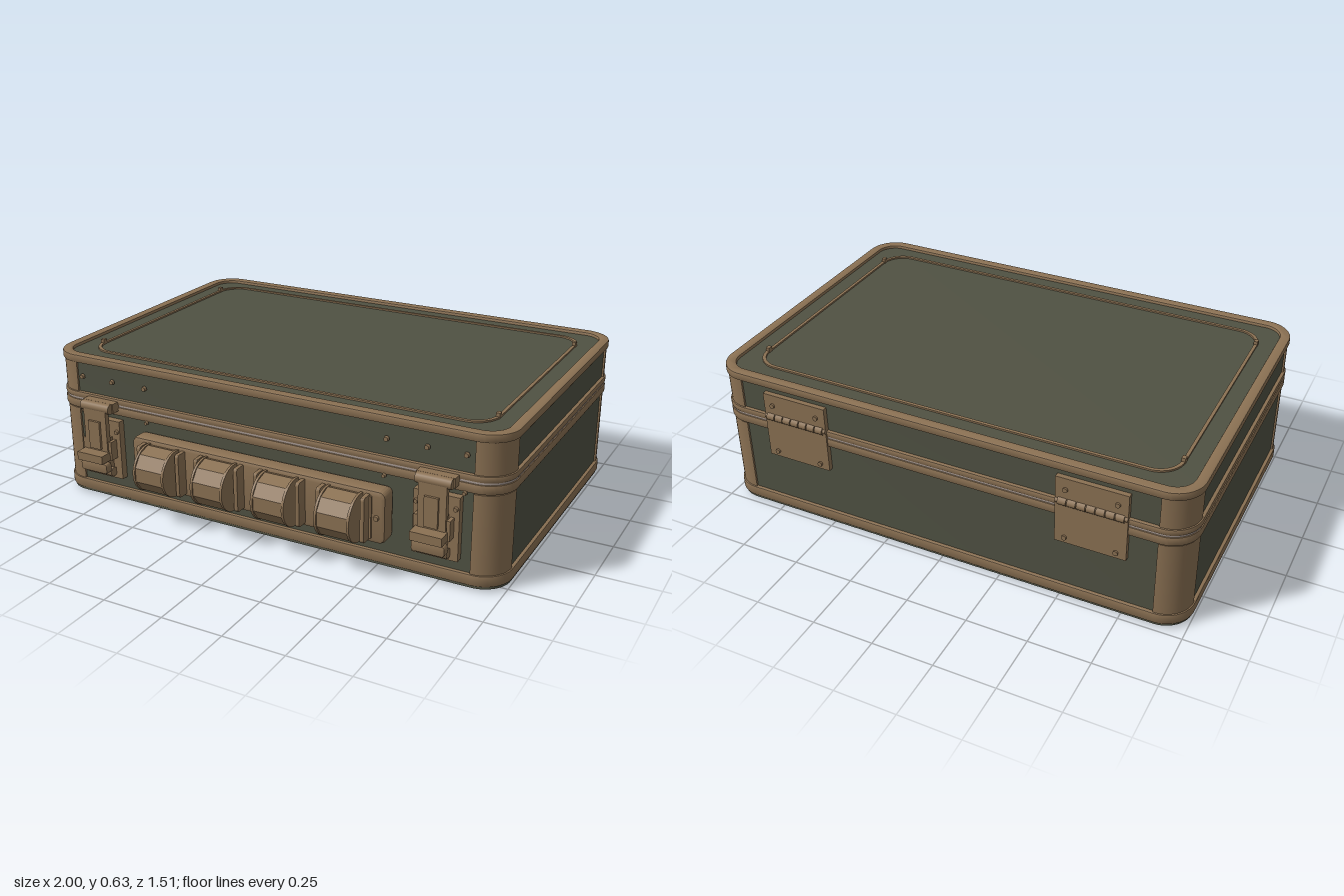
import * as THREE from 'three';
import { toCreasedNormals } from 'three/addons/utils/BufferGeometryUtils.js';

const material = (name, color) => new THREE.MeshStandardMaterial({ name, color });
const CZ = -0.08; // middle of the case in z

// Rounded rectangle centred on the origin, from half sizes.
function roundRect(hw, hd, r, Type = THREE.Shape) {
  const s = new Type();
  s.absarc(hw - r, hd - r, r, 0, Math.PI / 2);
  s.absarc(-hw + r, hd - r, r, Math.PI / 2, Math.PI);
  s.absarc(-hw + r, -hd + r, r, Math.PI, Math.PI * 1.5);
  s.absarc(hw - r, -hd + r, r, Math.PI * 1.5, Math.PI * 2);
  s.closePath();
  return s;
}

// Extrusion whose depth, bevel included, is exactly the given depth.
function extrude(shape, depth, bevel = 0) {
  const geo = new THREE.ExtrudeGeometry(shape, {
    depth: depth - 2 * bevel, curveSegments: 10, bevelEnabled: bevel > 0,
    bevelThickness: bevel, bevelSize: bevel, bevelOffset: -bevel, bevelSegments: 2,
  });
  return toCreasedNormals(geo.translate(0, 0, bevel), 0.6);
}

export function createModel() {
  const green = material('olive panel', 0x505243);
  const bronze = material('bronze metal', 0x8b7153);
  const steel = material('pale seam', 0xa89a92);
  const rubber = material('dark red rubber', 0x3c1a19);

  const model = new THREE.Group();
  model.name = 'briefcase';

  function add(parent, name, geo, mat, x = 0, y = 0, z = 0) {
    const mesh = new THREE.Mesh(geo, mat);
    mesh.name = name;
    mesh.position.set(x, y, z);
    parent.add(mesh);
    return mesh;
  }
  const box = (parent, name, w, h, d, x, y, z, mat = bronze) =>
    add(parent, name, new THREE.BoxGeometry(w, h, d), mat, x, y, z);
  const barX = (r, length, sides = 16) =>
    new THREE.CylinderGeometry(r, r, length, sides).rotateZ(Math.PI / 2);
  function rivet(parent, x, y, z, r = 0.011) {
    add(parent, 'rivet', new THREE.CylinderGeometry(r * 0.8, r, 0.012, 10).rotateX(Math.PI / 2), bronze, x, y, z);
  }
  // Horizontal slab from y0 to y1, inset from the outer outline.
  function slab(name, inset, y0, y1, mat, hole = 0, bevel = 0) {
    const shape = roundRect(1 - inset, 0.655 - inset, 0.12 - inset);
    if (hole) shape.holes.push(roundRect(1 - hole, 0.655 - hole, Math.max(0.12 - hole, 0.05), THREE.Path));
    add(model, name, extrude(shape, y1 - y0, bevel).rotateX(-Math.PI / 2), mat, 0, y0, CZ);
  }

  // Shell panels and metal bands
  slab('lowerShell', 0.014, 0.03, 0.4, green);
  slab('baseSheet', 0.006, 0.01, 0.03, green);
  slab('upperShell', 0.014, 0.44, 0.607, green);
  slab('bottomTrim', 0, 0.02, 0.065, bronze, 0.045, 0.005);
  slab('topTrim', 0, 0.586, 0.62, bronze, 0.042, 0.006);
  slab('lowerBand', 0, 0.388, 0.426, bronze, 0.04, 0.006);
  slab('upperBand', 0, 0.434, 0.46, bronze, 0.04, 0.005);
  slab('seam', 0.005, 0.42, 0.442, steel);

  // Thin frame inlaid in the lid
  const frame = roundRect(0.89, 0.548, 0.1);
  frame.holes.push(roundRect(0.877, 0.535, 0.09, THREE.Path));
  add(model, 'lidInlay', extrude(frame, 0.009).rotateX(-Math.PI / 2), bronze, 0, 0.605, CZ);

  // Wrapped corner plates, lid nubs and feet
  for (const sx of [-1, 1]) for (const sz of [-1, 1]) {
    const corner = new THREE.Shape();
    const hw = 0.994, hd = 0.649, r = 0.114;
    const points = [[0.875, 0.538], [0.875, hd]];
    for (let i = 0; i <= 10; i++) {
      const a = Math.PI / 2 * (1 - i / 10);
      points.push([hw - r + r * Math.cos(a), hd - r + r * Math.sin(a)]);
    }
    points.push([hw, 0.538]);
    corner.setFromPoints(points.map(([x, z]) => new THREE.Vector2(x * sx, -z * sz)));
    for (const [y0, y1] of [[0.06, 0.384], [0.456, 0.59]])
      add(model, 'cornerPlate', extrude(corner, y1 - y0).rotateX(-Math.PI / 2), bronze, 0, y0, CZ);

    const z = sz > 0 ? 0.375 : -0.525;
    box(model, 'lidNub', 0.016, 0.022, 0.02, sx * 0.883, 0.617, z);
    box(model, 'foot', 0.14, 0.014, 0.1, sx * 0.72, 0.007, z, rubber);
  }

  // Combination lock panel
  const lock = new THREE.Group();
  lock.name = 'combinationLock';
  model.add(lock);
  add(lock, 'lockPanel', extrude(roundRect(0.565, 0.107, 0.028), 0.075, 0.015), bronze, 0, 0.237, 0.56);
  for (const sx of [-1, 1]) {
    rivet(lock, sx * 0.53, 0.237, 0.638, 0.012);
    box(lock, 'panelEdgeRib', 0.012, 0.17, 0.012, sx * 0.505, 0.237, 0.637);
  }
  for (let i = 0; i < 4; i++) {
    const x = -0.407 + i * 0.27;
    const drum = add(lock, 'dial', barX(0.094, 0.125, 10).toNonIndexed(), bronze, x, 0.237, 0.656);
    drum.geometry.rotateX(Math.PI / 10);
    drum.geometry.computeVertexNormals();
    for (const s of [-1, 1]) {
      add(lock, 'dialRim', barX(0.096, 0.01, 32), bronze, x + s * 0.067, 0.237, 0.656);
      // Rounded guard beside each dial
      add(lock, 'dialGuard', extrude(roundRect(0.045, 0.092, 0.012), 0.018, 0.003).rotateY(Math.PI / 2),
        bronze, x + s * 0.091 - 0.009, 0.237, 0.638);
    }
  }

  // Latches
  for (const sx of [-1, 1]) {
    const latch = new THREE.Group();
    latch.name = sx > 0 ? 'leftLatch' : 'rightLatch';
    latch.position.x = sx * 0.746;
    model.add(latch);
    box(latch, 'latchPlate', 0.18, 0.255, 0.03, 0, 0.243, 0.58);
    box(latch, 'latchStrap', 0.11, 0.2, 0.022, 0, 0.33, 0.625);
    box(latch, 'latchSpine', 0.055, 0.12, 0.016, 0, 0.315, 0.638);
    box(latch, 'latchCore', 0.1, 0.14, 0.045, 0, 0.23, 0.612);
    box(latch, 'pullTab', 0.125, 0.035, 0.062, 0, 0.228, 0.655);
    add(latch, 'tabLip', extrude(roundRect(0.066, 0.022, 0.012), 0.035, 0.006), bronze, 0, 0.18, 0.63);
    add(latch, 'tabRoll', barX(0.02, 0.12), bronze, 0, 0.15, 0.61);
    add(latch, 'latchRoller', barX(0.021, 0.14), bronze, 0, 0.43, 0.617);
    box(latch, 'catch', 0.15, 0.04, 0.04, 0, 0.43, 0.59);
    for (const s of [-1, 1]) {
      box(latch, 'latchEar', 0.014, 0.08, 0.04, s * 0.064, 0.25, 0.612);
      rivet(latch, s * 0.077, 0.325, 0.6, 0.01);
    }
    for (const x of [0.845, 0.695, 0.535]) rivet(model, sx * x, 0.53, 0.575);
    for (const x of [0.845, 0.53]) rivet(model, sx * x, 0.385, 0.58, 0.009);
  }

  // Back hinges
  for (const sx of [-1, 1]) {
    const hinge = new THREE.Group();
    hinge.name = sx > 0 ? 'leftHinge' : 'rightHinge';
    hinge.position.x = sx * 0.625;
    model.add(hinge);
    box(hinge, 'upperLeaf', 0.28, 0.1, 0.022, 0, 0.513, -0.73);
    box(hinge, 'lowerLeaf', 0.28, 0.18, 0.022, 0, 0.365, -0.73);
    for (let i = 0; i < 7; i++)
      add(hinge, 'knuckle', barX(0.017, 0.033, 12), bronze, (i - 3) * 0.037, 0.46, -0.737);
    add(hinge, 'hingePin', barX(0.011, 0.28, 10), bronze, 0, 0.46, -0.737);
    for (const s of [-1, 1]) for (const y of [0.3, 0.515]) {
      const head = new THREE.CylinderGeometry(0.01, 0.01, 0.012, 10).rotateX(Math.PI / 2);
      add(hinge, 'hingeRivet', head, bronze, s * 0.1, y, -0.743);
    }
  }
  return model;
}
